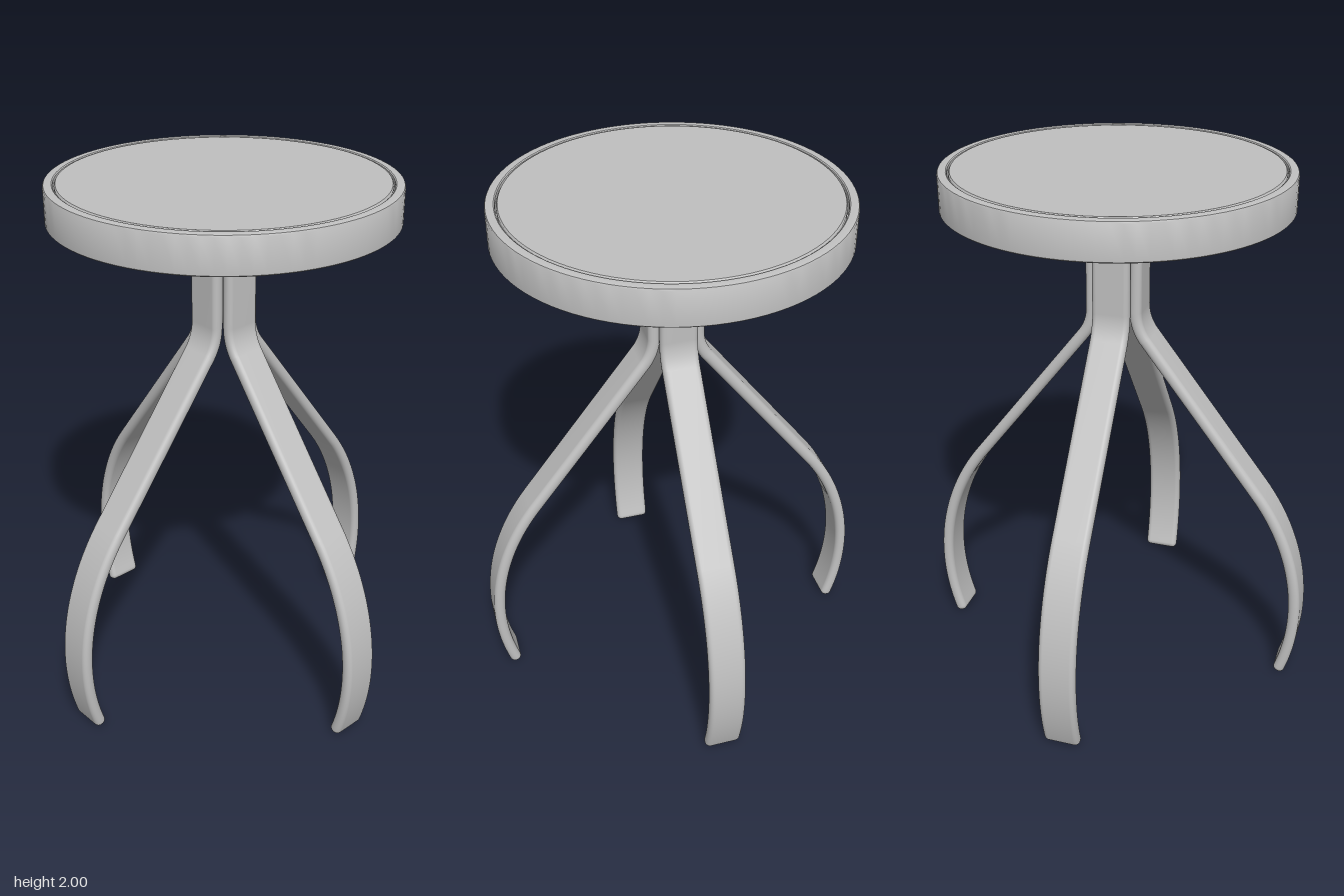
import * as THREE from 'three';
import { toCreasedNormals } from 'three/addons/utils/BufferGeometryUtils.js';

const V2 = (x, y) => new THREE.Vector2(x, y);

// Rounded rectangle outline, counter-clockwise
function roundedRect(halfA, halfB, radius, steps = 5) {
  const pts = [];
  const signs = [[1, 1], [-1, 1], [-1, -1], [1, -1]];
  signs.forEach(([sa, sb], q) => {
    for (let k = 0; k <= steps; k++) {
      const a = (q + k / steps) * Math.PI / 2;
      pts.push(V2(
        sa * (halfA - radius) + radius * Math.cos(a),
        sb * (halfB - radius) + radius * Math.sin(a)
      ));
    }
  });
  return pts;
}

// Flat bar with rounded edges and rounded ends, swept along a path in the xy plane
function sweptBar(path, halfThick, halfWidth, round) {
  const pts = path.getPoints(20).filter((p, i, all) => i === 0 || p.distanceTo(all[i - 1]) > 1e-4);
  const last = pts.length - 1;
  const rings = pts.map((p, i) => ({
    p,
    t: pts[Math.min(i + 1, last)].clone().sub(pts[Math.max(i - 1, 0)]).normalize(),
    inset: 0,
  }));
  const first = rings[0], end = rings[last];
  for (let k = 1; k <= 5; k++) {
    const a = k / 5 * Math.PI / 2;
    const out = round * Math.sin(a), inset = round * (1 - Math.cos(a)) * 0.98;
    rings.unshift({ p: first.p.clone().addScaledVector(first.t, -out), t: first.t, inset });
    rings.push({ p: end.p.clone().addScaledVector(end.t, out), t: end.t, inset });
  }

  const pos = [], index = [];
  let n = 0;
  for (const { p, t, inset } of rings) {
    const outline = roundedRect(halfThick - inset, halfWidth - inset, round - inset);
    n = outline.length;
    for (const o of outline) pos.push(p.x - t.y * o.x, p.y + t.x * o.x, o.y);
  }
  for (let i = 0; i < rings.length - 1; i++) {
    for (let j = 0; j < n; j++) {
      const a = i * n + j, b = i * n + (j + 1) % n;
      index.push(a, b, b + n, a, b + n, a + n);
    }
  }
  // End caps
  const c0 = pos.length / 3, c1 = c0 + 1, base = (rings.length - 1) * n;
  for (const r of [rings[0], rings[rings.length - 1]]) pos.push(r.p.x, r.p.y, 0);
  for (let j = 0; j < n; j++) {
    const k = (j + 1) % n;
    index.push(c0, k, j, c1, base + j, base + k);
  }
  const geo = new THREE.BufferGeometry();
  geo.setAttribute('position', new THREE.Float32BufferAttribute(pos, 3));
  geo.setIndex(index);
  geo.computeVertexNormals();
  return geo;
}

function lathe(profile) {
  const pts = profile.map(([x, y]) => V2(x, y));
  return toCreasedNormals(new THREE.LatheGeometry(pts, 96), 0.5);
}

export function createModel() {
  const model = new THREE.Group();
  model.name = 'stool';
  const grey = new THREE.MeshStandardMaterial({ color: 0xc0c0c0 });
  grey.name = 'light grey';

  const add = (name, geo) => {
    const mesh = new THREE.Mesh(geo, grey);
    mesh.name = name;
    model.add(mesh);
    return mesh;
  };

  // Seat rim: thin skirt with a wider lip at the top
  add('seatRim', lathe([
    [0.612, 1.865], [0.621, 1.865], [0.625, 1.869], [0.625, 1.992], [0.622, 1.998], [0.617, 2],
    [0.594, 2], [0.59, 1.997], [0.589, 1.99], [0.589, 1.948], [0.612, 1.948], [0.612, 1.865],
  ]));

  // Seat panel set inside the rim
  add('seatPanel', lathe([
    [0, 1.945], [0.59, 1.945], [0.59, 1.95], [0.585, 1.95], [0.585, 1.994], [0.581, 2], [0, 2],
  ]));

  // Leg path: under the seat, down the middle, out along a diagonal, then a long curve to the foot
  const deg = Math.PI / 180;
  const path = new THREE.Path();
  path.moveTo(0.56, 1.9225);
  path.absarc(0.238, 1.7675, 0.155, 90 * deg, 180 * deg, false);
  path.absarc(0.263, 1.481, 0.18, 180 * deg, 217.5 * deg, false);
  path.absarc(-0.113, 0.28, 0.85, 37.5 * deg, -17.8 * deg, true);
  const legGeo = sweptBar(path, 0.0225, 0.07, 0.02);

  ['leftLeg', 'backLeg', 'rightLeg', 'frontLeg'].forEach((name, i) => {
    add(name, legGeo).rotation.y = i * Math.PI / 2;
  });

  return model;
}
